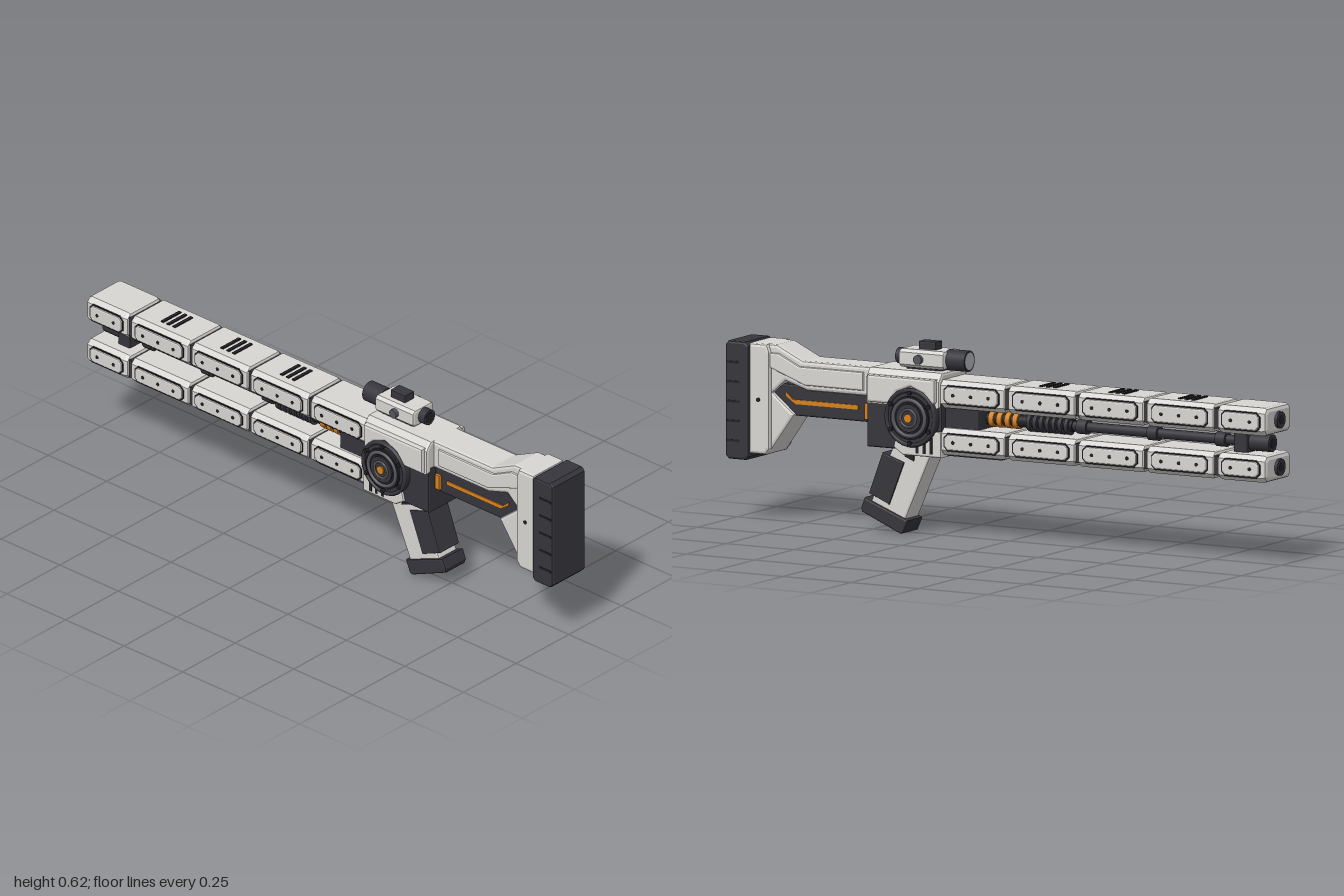
import * as THREE from 'three';

const mat = (name, color) => Object.assign(new THREE.MeshStandardMaterial({ color }), { name });
const light = mat('paleShell', 0xd8d6d2);
const dark = mat('darkPolymer', 0x36353c);
const black = mat('blackDetail', 0x222226);
const grey = mat('greyMetal', 0x55565c);
const orange = mat('orangeAccent', 0xd8821f);
const lens = mat('paleLens', 0xb4b5b8);

export function createModel() {
  const root = new THREE.Group();
  root.name = 'rifle';

  const add = (name, geo, material, x = 0, y = 0, z = 0, parent = root) => {
    const m = new THREE.Mesh(geo, material);
    m.name = name;
    m.position.set(x, y, z);
    parent.add(m);
    return m;
  };
  const polygon = pts => new THREE.Shape(pts.map(p => new THREE.Vector2(p[0], p[1])));
  const extrude = (shape, depth, bevel) => {
    const g = new THREE.ExtrudeGeometry(shape, {
      depth: depth - 2 * bevel, bevelEnabled: bevel > 0, bevelThickness: bevel,
      bevelSize: bevel, bevelOffset: -bevel, bevelSegments: 2, curveSegments: 5,
    });
    return g.translate(0, 0, bevel - depth / 2);
  };
  // Side profile in (z, y), extruded symmetrically across x
  const side = (name, pts, width, material, bevel = 0.006, parent = root, x = 0) =>
    add(name, extrude(polygon(pts), width, bevel).rotateY(-Math.PI / 2), material, x, 0, 0, parent);
  const rect = (z0, z1, y0, y1, c = 0) => c
    ? [[z0 + c, y0], [z1 - c, y0], [z1, y0 + c], [z1, y1 - c], [z1 - c, y1], [z0 + c, y1], [z0, y1 - c], [z0, y0 + c]]
    : [[z0, y0], [z1, y0], [z1, y1], [z0, y1]];
  const slab = (name, z0, z1, y0, y1, w, material, bevel = 0.006, c = 0) =>
    side(name, rect(z0, z1, y0, y1, c), w, material, bevel);
  const rod = (name, r, z0, z1, y, material, r2 = r) =>
    add(name, new THREE.CylinderGeometry(r, r2, Math.abs(z1 - z0), 24).rotateX(Math.PI / 2), material, 0, y, (z0 + z1) / 2);
  const axle = (name, r, w, y, z, material, x = 0, n = 40) =>
    add(name, new THREE.CylinderGeometry(r, r, w, n).rotateZ(Math.PI / 2), material, x, y, z);

  // Butt pad with side grooves
  slab('buttPad', 0.913, 1, 0.198, 0.578, 0.158, dark, 0.008, 0.012);
  for (let i = 0; i < 5; i++) slab('buttPadGroove', 0.945, 0.995, 0.255 + i * 0.063, 0.262 + i * 0.063, 0.161, black, 0);

  // Stock shell, end plate, core and raised panel
  side('stockShell', [[0.915, 0.575], [0.82, 0.575], [0.725, 0.53], [0.47, 0.53], [0.47, 0.435], [0.71, 0.435],
    [0.79, 0.46], [0.835, 0.42], [0.755, 0.355], [0.85, 0.222], [0.915, 0.222]], 0.12, light, 0.01);
  side('stockEndPlate', [[0.915, 0.575], [0.85, 0.575], [0.84, 0.55], [0.84, 0.24], [0.855, 0.22], [0.915, 0.22]], 0.148, light, 0.01);
  side('stockCore', [[0.87, 0.45], [0.47, 0.45], [0.47, 0.35], [0.77, 0.35], [0.85, 0.41]], 0.098, dark);
  side('stockSidePanel', [[0.845, 0.548], [0.81, 0.548], [0.735, 0.512], [0.5, 0.512], [0.5, 0.452],
    [0.715, 0.452], [0.79, 0.48], [0.845, 0.5]], 0.134, light, 0.006);
  side('stockAccent', [[0.79, 0.425], [0.765, 0.402], [0.525, 0.402], [0.525, 0.388], [0.755, 0.388], [0.79, 0.412]], 0.106, orange, 0);
  slab('stockAccentBar', 0.48, 0.499, 0.36, 0.412, 0.118, orange, 0.002);
  axle('stockPin', 0.007, 0.152, 0.395, 0.88, black, 0, 12);

  // Receiver
  slab('receiverCore', 0.2, 0.475, 0.278, 0.44, 0.166, dark, 0.006);
  add('receiverTop', extrude(polygon([[-0.092, 0.42], [0.092, 0.42], [0.092, 0.505], [0.07, 0.532], [-0.07, 0.532], [-0.092, 0.505]]),
    0.27, 0.008), light, 0, 0, 0.34);
  side('receiverSidePanel', [[0.465, 0.425], [0.465, 0.513], [0.215, 0.513], [0.215, 0.44], [0.235, 0.42],
    [0.255, 0.465], [0.305, 0.485], [0.355, 0.465], [0.385, 0.425]], 0.208, light, 0.008);
  side('receiverLowerShell', [[0.2, 0.262], [0.34, 0.262], [0.375, 0.285], [0.36, 0.345], [0.2, 0.345]], 0.182, light, 0.006);
  for (const z of [0.235, 0.26, 0.285]) slab('lowerVent', z - 0.005, z + 0.005, 0.272, 0.325, 0.186, black, 0);
  slab('frontBlock', 0.075, 0.22, 0.34, 0.43, 0.12, dark, 0.006);

  // Round side drum with bolts and orange hub
  const dy = 0.386, dz = 0.303;
  axle('drum', 0.094, 0.208, dy, dz, dark);
  axle('drumStep', 0.07, 0.226, dy, dz, black);
  axle('drumCap', 0.045, 0.236, dy, dz, dark);
  axle('drumHub', 0.014, 0.246, dy, dz, orange, 0, 20);
  for (const s of [-1, 1]) {
    const ring = (r, t, x, m) => add('drumRing', new THREE.TorusGeometry(r, t, 8, 40).rotateY(Math.PI / 2), m, s * x, dy, dz);
    ring(0.088, 0.007, 0.103, dark);
    ring(0.058, 0.007, 0.112, grey);
    ring(0.028, 0.004, 0.118, grey);
    for (let i = 0; i < 6; i++) {
      const a = Math.PI / 2 + i * Math.PI / 3;
      axle('drumBolt', 0.007, 0.014, dy + 0.081 * Math.sin(a), dz + 0.081 * Math.cos(a), black, s * 0.108, 10);
    }
  }

  // Grip, tilted backwards, with trigger
  side('grip', [[0.395, 0.3], [0.26, 0.27], [0.365, 0.03], [0.49, 0.085]], 0.086, light, 0.008);
  side('gripPanel', [[0.44, 0.257], [0.36, 0.23], [0.415, 0.09], [0.49, 0.122]], 0.094, dark, 0.004);
  side('gripBase', [[0.505, 0.108], [0.345, 0.045], [0.363, 0.003], [0.375, 0], [0.515, 0.06], [0.518, 0.075]], 0.098, dark, 0.006);
  side('trigger', [[0.35, 0.28], [0.32, 0.27], [0.325, 0.235], [0.362, 0.25]], 0.092, black, 0.004);

  // Twin rails made of shell segments with side panels, screws and vents
  const segments = [[0.21, -0.03], [-0.042, -0.288], [-0.3, -0.54], [-0.552, -0.798], [-0.81, -0.99]];
  for (const [rail, y0, y1] of [['upper', 0.422, 0.512], ['lower', 0.272, 0.358]]) {
    const h = y1 - y0, yc = (y0 + y1) / 2, c = 0.016, w = 0.084;
    add(rail + 'RailCore', new THREE.BoxGeometry(0.15, h - 0.024, 1.14), dark, 0, yc, -0.39);
    segments.forEach(([a, b], i) => {
      const end = i === 4, len = a - b, zc = (a + b) / 2;
      const g = new THREE.Group();
      g.name = rail + 'RailSegment';
      g.position.set(0, yc, zc);
      root.add(g);
      const section = polygon(rect(-w, w, -h / 2, h / 2, c));
      add('shell', extrude(section, len, end ? 0.014 : 0.008), light, 0, 0, 0, g);
      const p = len / 2 - 0.018;
      side('sidePanel', rect(-p, p, -h / 2 + 0.014, h / 2 - 0.014, 0.014), 0.172, black, 0, g);
      side('sidePanelFace', rect(-p + 0.004, p - 0.004, -h / 2 + 0.018, h / 2 - 0.018, 0.012), 0.182, light, 0.005, g);
      for (const z of end ? [-0.035, 0.035] : [-0.065, 0, 0.065])
        add('screw', new THREE.CylinderGeometry(0.006, 0.006, 0.185, 10).rotateZ(Math.PI / 2), black, 0, 0, z, g);
      if (rail === 'upper' && i > 0 && !end)
        for (const z of [-0.025, 0, 0.025])
          add('topVent', new THREE.BoxGeometry(0.085, 0.008, 0.011), black, 0, h / 2, z, g);
    });
    // Front port
    rod(rail + 'Port', 0.027, -0.98, -1, yc, dark);
    rod(rail + 'PortBore', 0.014, -0.99, -1.001, yc, black);
  }
  add('lowerRailPlate', new THREE.BoxGeometry(0.13, 0.006, 0.2), dark, 0, 0.271, 0.09);

  // Centre barrel with rings
  const by = 0.389;
  rod('barrel', 0.016, 0.08, -0.92, by, dark);
  rod('barrelCollar', 0.02, 0.08, -0.24, by, black);
  for (const z of [0.055, 0.025, -0.005, -0.033]) rod('orangeRing', 0.026, z + 0.009, z - 0.009, by, orange);
  for (let i = 0; i < 7; i++) rod('barrelRib', 0.03, -0.078 - i * 0.023, -0.091 - i * 0.023, by, dark);
  for (const z of [-0.275, -0.535, -0.785]) rod('barrelBand', 0.024, z + 0.018, z - 0.018, by, dark);
  slab('railBridge', -0.895, -0.845, 0.34, 0.435, 0.07, dark, 0.004);
  rod('muzzle', 0.028, -0.895, -0.968, by, dark);
  rod('muzzleBore', 0.016, -0.96, -0.97, by, black);

  // Scope
  const sy = 0.566;
  slab('scopeMount', 0.23, 0.36, 0.525, 0.545, 0.07, dark, 0.004);
  add('scopeBody', extrude(polygon(rect(-0.05, 0.05, 0.537, 0.596, 0.01)), 0.165, 0.008), light, 0, 0, 0.297);
  rod('scopeFront', 0.034, 0.22, 0.147, sy, dark);
  rod('scopeLens', 0.028, 0.15, 0.146, sy, lens);
  rod('scopeRear', 0.026, 0.37, 0.405, sy, dark);
  rod('scopeRearLens', 0.018, 0.4, 0.406, sy, black);
  slab('scopeTopBlock', 0.258, 0.32, 0.59, 0.621, 0.045, dark, 0.004);
  axle('scopeKnob', 0.015, 0.125, sy, 0.303, grey, 0, 16);
  return root;
}
